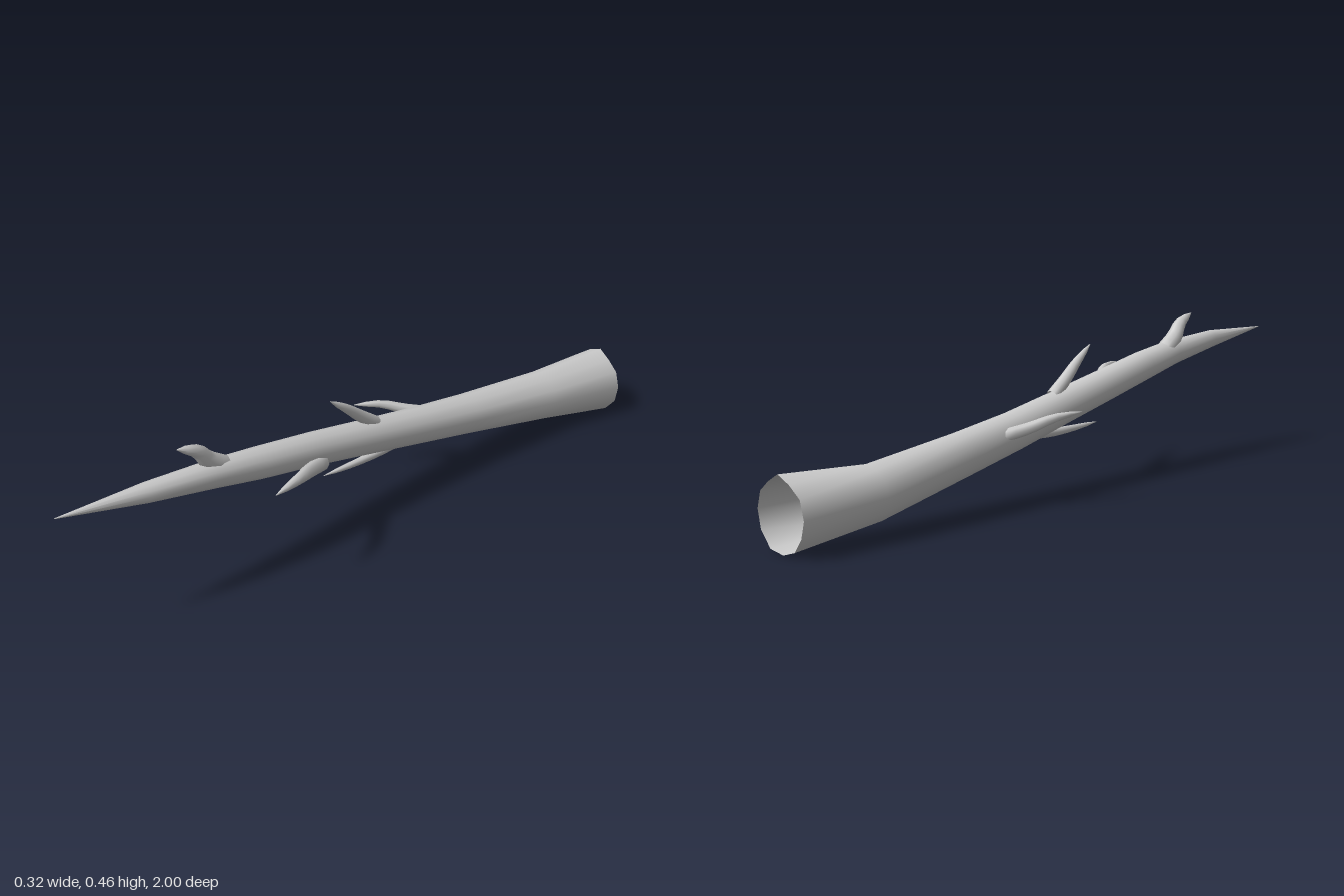
import * as THREE from 'three';

const material = new THREE.MeshStandardMaterial({ color: 0xcccccc, side: THREE.DoubleSide });

// Smooth round loft: stations are [x, y, z, radius]; scale(ring, side) varies the radius
function loft(name, stations, sides, scale = () => 1) {
  const pts = stations.map(s => new THREE.Vector3(s[0], s[1], s[2]));
  const up = new THREE.Vector3(0, 1, 0);
  const pos = [], index = [];
  stations.forEach((s, i) => {
    const dir = pts[Math.min(i + 1, pts.length - 1)].clone().sub(pts[Math.max(i - 1, 0)]).normalize();
    const across = up.clone().cross(dir).normalize();
    const over = dir.clone().cross(across);
    for (let j = 0; j < sides; j++) {
      const a = j / sides * Math.PI * 2, r = s[3] * scale(i, j);
      const p = pts[i].clone().addScaledVector(across, Math.cos(a) * r).addScaledVector(over, Math.sin(a) * r);
      pos.push(p.x, p.y, p.z);
      if (i === 0) continue;
      const k = (j + 1) % sides, A = (i - 1) * sides, B = i * sides;
      index.push(A + j, A + k, B + j, A + k, B + k, B + j);
    }
  });
  const geo = new THREE.BufferGeometry();
  geo.setAttribute('position', new THREE.Float32BufferAttribute(pos, 3));
  geo.setIndex(index);
  geo.computeVertexNormals();
  const mesh = new THREE.Mesh(geo, material);
  mesh.name = name;
  return mesh;
}

// Curved side shoot that narrows to a point
function twig(name, path, radius) {
  const curve = new THREE.CatmullRomCurve3(path.map(p => new THREE.Vector3(...p)));
  const taper = [1, 0.98, 0.93, 0.86, 0.76, 0.62, 0.42, 0.05];
  const stations = taper.map((t, i) => [...curve.getPoint(i / (taper.length - 1)).toArray(), radius * t]);
  return loft(name, stations, 8);
}

export function createModel() {
  const group = new THREE.Group();
  group.name = 'branch';

  // Tapering limb, open and uneven at the broken end
  const rim = [1, 0.95, 0.88, 1, 0.93, 1.02, 1, 0.96, 1, 1.02, 1.1, 1.06];
  group.add(loft('limb', [
    [-0.007, 0.1, -0.985, 0.097],
    [-0.03, 0.113, -0.73, 0.075],
    [-0.025, 0.165, -0.4, 0.06],
    [-0.021, 0.2, -0.2, 0.054],
    [-0.0125, 0.24, 0, 0.05],
    [-0.005, 0.28, 0.2, 0.047],
    [0.008, 0.318, 0.4, 0.044],
    [0.013, 0.345, 0.55, 0.038],
    [0.012, 0.37, 0.75, 0.027],
    [-0.003, 0.391, 1, 0.001],
  ], 12, (i, j) => 1 + (rim[j] - 1) * [1, 0.35][i] || 1));

  // Side shoots
  group.add(
    twig('upperFrontTwig', [[0.008, 0.355, 0.51], [0.01, 0.39, 0.56], [0.014, 0.43, 0.594], [0.018, 0.458, 0.655]], 0.027),
    twig('upperMiddleTwig', [[-0.012, 0.275, -0.03], [-0.01, 0.315, 0.025], [-0.006, 0.36, 0.08], [-0.003, 0.405, 0.142]], 0.019),
    twig('leftTwig', [[0.03, 0.25, 0.2], [0.075, 0.277, 0.28], [0.125, 0.303, 0.36], [0.16, 0.312, 0.46]], 0.021),
    twig('rightTwig', [[-0.06, 0.2, -0.28], [-0.095, 0.217, -0.22], [-0.13, 0.24, -0.16], [-0.162, 0.252, -0.08]], 0.018),
    twig('lowerTwig', [[-0.015, 0.182, -0.15], [-0.013, 0.173, -0.05], [-0.01, 0.173, 0.06], [-0.008, 0.178, 0.165]], 0.014),
  );
  return group;
}
